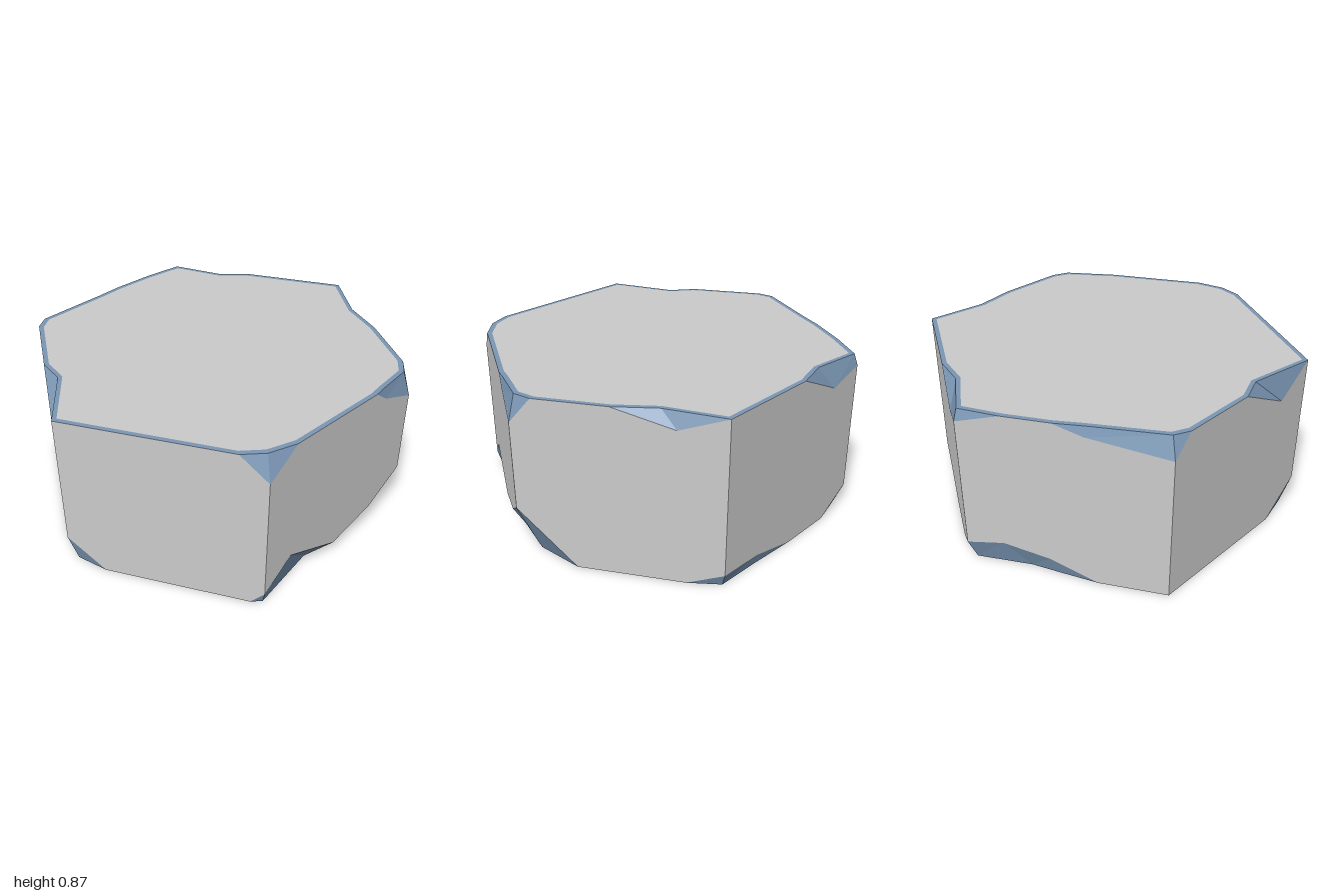
import * as THREE from 'three';

const HEIGHT = 0.87;

// Chips along each edge: [position on wall, chip depth, position on rim, rim inset].
// Positions run 0..6 round the hexagon, whole numbers being the corners.
const TOP_CHIPS = [
  [0, 0.13, 0, 0.05], [0.17, 0, 0.17, 0],
  [0.72, 0, 0.72, 0], [0.8, 0.06, 0.78, 0.012], [1, 0.13, 1, 0.04], [1.11, 0, 1.11, 0],
  [1.47, 0, 1.47, 0], [1.77, 0.08, 1.7, 0.042], [2, 0, 2, 0],
  [2.54, 0, 2.54, 0], [2.8, 0.12, 2.73, 0.055], [3, 0.06, 3, 0.02], [3.22, 0, 3.22, 0],
  [3.45, 0, 3.45, 0], [3.6, 0.05, 3.6, 0.015], [4, 0.11, 4, 0.04], [4.1, 0, 4.1, 0],
  [4.5, 0, 4.5, 0], [4.8, 0.15, 4.65, 0.065], [5, 0, 5, 0], [5.86, 0, 5.86, 0],
];
const BOTTOM_CHIPS = [
  [0, 0.07, 0, 0.025], [0.17, 0.21, 0.37, 0.1], [0.5, 0.075, 0.53, 0.09],
  [0.78, 0.15, 0.72, 0.075], [1, 0.29, 1, 0.13], [1.29, 0, 1.29, 0],
  [1.82, 0, 1.82, 0], [2, 0.07, 2, 0.03], [2.24, 0.06, 2.24, 0.02], [2.51, 0, 2.51, 0],
  [2.8, 0, 2.8, 0], [3, 0.12, 3, 0.05], [3.19, 0.15, 3.3, 0.055],
  [3.42, 0.1, 3.46, 0.03], [3.66, 0, 3.66, 0], [4, 0, 4, 0],
  [4.79, 0, 4.79, 0], [5, 0.17, 5, 0.05], [5.19, 0, 5.19, 0], [5.93, 0, 5.93, 0],
];

// Point on the hexagon outline, pulled towards the middle by inset
function outline(u, y, inset = 0) {
  const corner = (i) => new THREE.Vector3(Math.sin(i * Math.PI / 3), 0, Math.cos(i * Math.PI / 3));
  const i = Math.floor(u);
  const p = corner(i).lerp(corner(i + 1), u - i).multiplyScalar(1 - inset);
  p.y = y;
  return p;
}

// Chip depth at any position round the outline
function depthAt(chips, u) {
  const ring = [...chips, [6, chips[0][1]]];
  const i = ring.findIndex((c) => c[0] >= u);
  if (i === 0) return ring[0][1];
  const [a, b] = [ring[i - 1], ring[i]];
  return THREE.MathUtils.mapLinear(u, a[0], b[0], a[1], b[1]);
}

// Closed band of flat facets between two loops, dropping collapsed triangles
function band(low, high) {
  const points = [];
  const add = (a, b, c) => {
    if (new THREE.Triangle(a, b, c).getArea() > 1e-7) points.push(a, b, c);
  };
  low.forEach((a, i) => {
    const j = (i + 1) % low.length;
    add(a, low[j], high[j]);
    add(a, high[j], high[i]);
  });
  const geometry = new THREE.BufferGeometry().setFromPoints(points);
  geometry.computeVertexNormals();
  return geometry;
}

export function createModel() {
  const group = new THREE.Group();
  const stone = new THREE.MeshStandardMaterial({ color: 0xcccccc, flatShading: true });
  const edge = new THREE.MeshStandardMaterial({ color: 0x7b97b5, flatShading: true });
  const addPart = (name, low, high, material) => {
    const mesh = new THREE.Mesh(band(low, high), material);
    mesh.name = name;
    group.add(mesh);
  };

  // Vertical walls, bounded by the chipped edges
  const stations = [...new Set([...TOP_CHIPS, ...BOTTOM_CHIPS].map((c) => c[0]))].sort((a, b) => a - b);
  addPart('walls',
    stations.map((u) => outline(u, depthAt(BOTTOM_CHIPS, u))),
    stations.map((u) => outline(u, HEIGHT - depthAt(TOP_CHIPS, u))), stone);

  // Sloping chip facets
  const topRim = TOP_CHIPS.map(([, , u, inset]) => outline(u, HEIGHT, inset));
  const bottomRim = BOTTOM_CHIPS.map(([, , u, inset]) => outline(u, 0, inset));
  addPart('topChips', TOP_CHIPS.map(([u, d]) => outline(u, HEIGHT - d)), topRim, edge);
  addPart('bottomChips', bottomRim, BOTTOM_CHIPS.map(([u, d]) => outline(u, d)), edge);

  // Thin border round the top face, then the top and bottom faces
  const inner = topRim.map((p) => new THREE.Vector3(p.x * 0.972, HEIGHT, p.z * 0.972));
  addPart('topBorder', topRim, inner, edge);
  addPart('topFace', inner, inner.map(() => new THREE.Vector3(0, HEIGHT, 0)), stone);
  addPart('bottomFace', bottomRim.map(() => new THREE.Vector3()), bottomRim, stone);

  return group;
}
